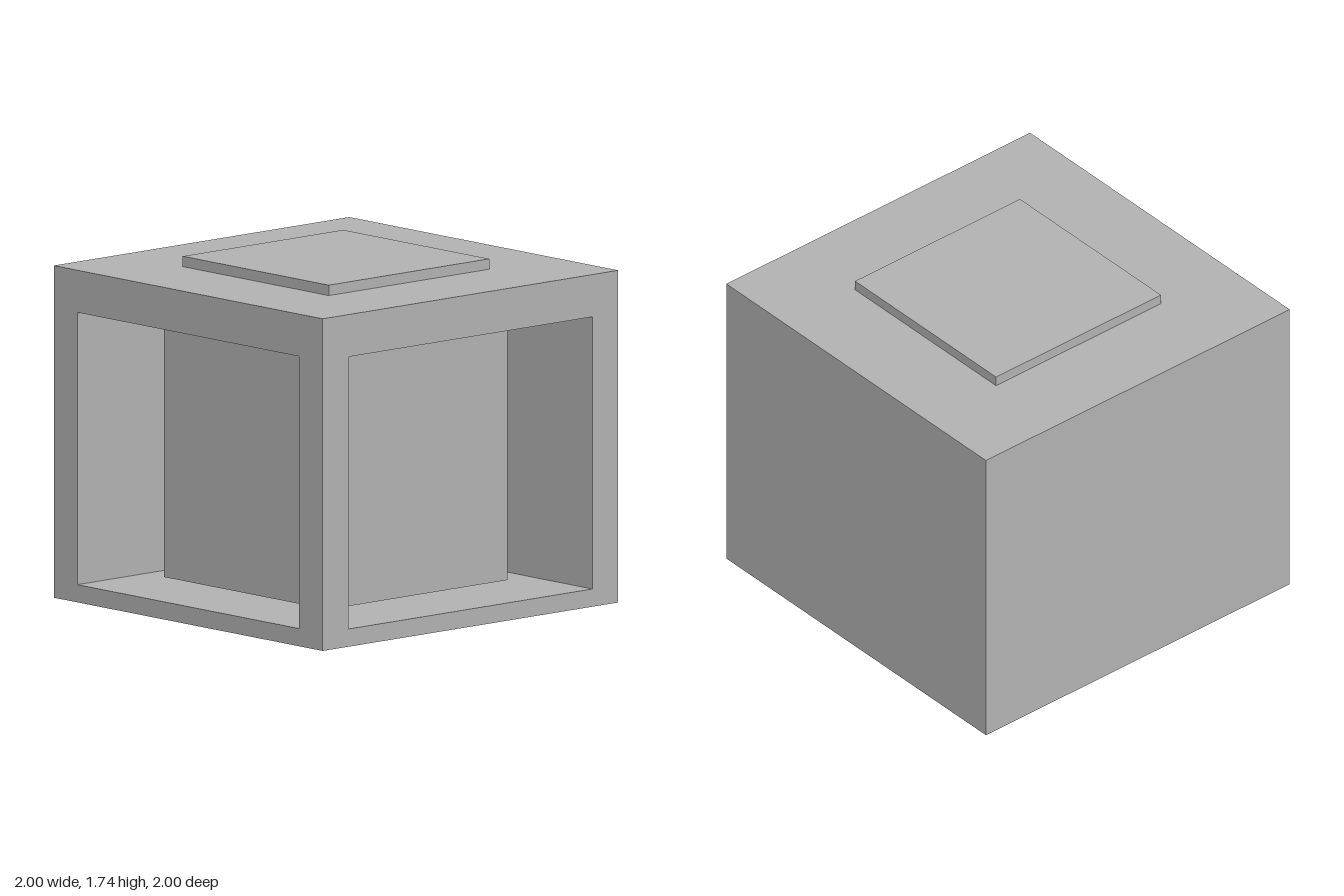
import * as THREE from 'three';

export function createModel() {
  const model = new THREE.Group();
  const grey = new THREE.MeshStandardMaterial({ color: 0xb2b2b2 });
  grey.name = 'plain grey';

  const FLOOR = 0.09, CEILING = 1.475, TOP = 1.69, INNER = 0.825;

  function add(name, geometry) {
    const mesh = new THREE.Mesh(geometry, grey);
    mesh.name = name;
    model.add(mesh);
  }

  // Box given by its extents on each axis
  function block(name, [x0, x1], [y0, y1], [z0, z1]) {
    const g = new THREE.BoxGeometry(x1 - x0, y1 - y0, z1 - z0);
    g.translate((x0 + x1) / 2, (y0 + y1) / 2, (z0 + z1) / 2);
    add(name, g);
  }

  // Floor and roof slabs
  block('floorSlab', [-1, 1], [0, FLOOR], [-1, 1]);
  block('roofSlab', [-1, 1], [CEILING, TOP], [-1, 1]);

  // L-shaped wall closing the back and the +x side (plan drawn in x, z)
  const plan = new THREE.Shape([
    [-1, -1], [1, -1], [1, 1], [INNER, 1], [INNER, -INNER], [-1, -INNER],
  ].map(([x, z]) => new THREE.Vector2(x, z)));
  const walls = new THREE.ExtrudeGeometry(plan, { depth: CEILING - FLOOR, bevelEnabled: false });
  walls.rotateX(Math.PI / 2).translate(0, CEILING, 0);
  add('cornerWalls', walls);

  // Post between the two open sides
  block('cornerPost', [-1, -INNER], [FLOOR, CEILING], [INNER, 1]);

  // Inner block, just clear of floor and ceiling
  block('core', [-0.61, 0.605], [0.11, 1.46], [-0.61, 0.61]);

  // Raised plate on the roof
  block('roofPlate', [-0.543, 0.543], [TOP, 1.743], [-0.543, 0.543]);

  return model;
}
